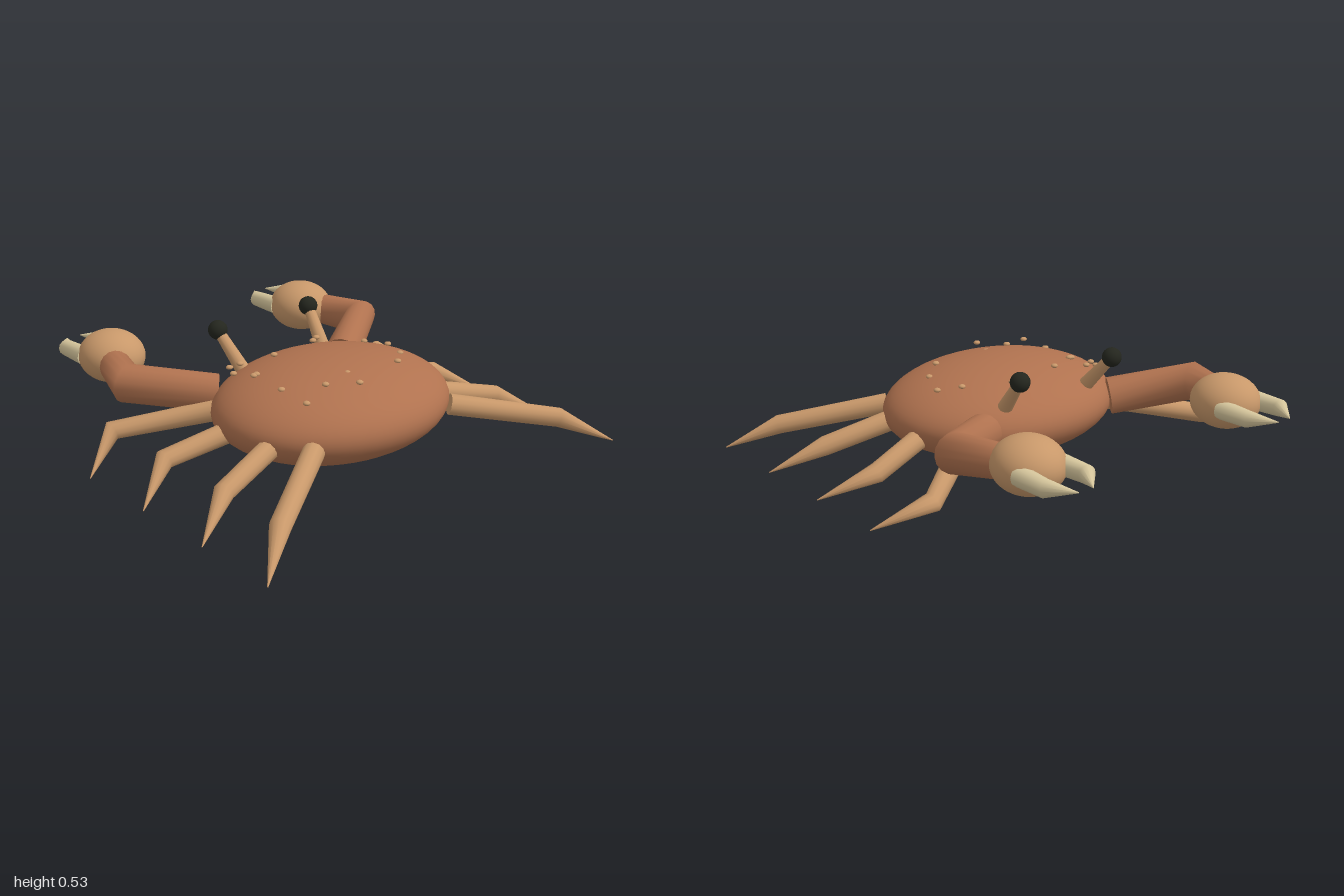
import * as THREE from 'three';

const material = (name, color) => {
  const m = new THREE.MeshStandardMaterial({ color });
  m.name = name;
  return m;
};

// Smooth round limb through a few points, mitred at each joint, with closed ends
function limb(points, radii, sides = 12) {
  const pts = points.map((p) => new THREE.Vector3(...p));
  const up = new THREE.Vector3(0, 1, 0);
  const pos = [], index = [];
  const dir = (i) => pts[i + 1].clone().sub(pts[i]).normalize();
  const last = pts.length - 1;
  pts.forEach((c, i) => {
    const t = i === 0 ? dir(0) : i === last ? dir(last - 1) : dir(i - 1).add(dir(i)).normalize();
    const u = up.clone().cross(t).normalize();
    const v = t.clone().cross(u);
    for (let j = 0; j < sides; j++) {
      const a = (j / sides) * Math.PI * 2;
      const p = c.clone().addScaledVector(u, radii[i] * Math.cos(a)).addScaledVector(v, radii[i] * Math.sin(a));
      pos.push(p.x, p.y, p.z);
    }
  });
  for (let i = 0; i < last; i++) {
    for (let j = 0; j < sides; j++) {
      const k = (j + 1) % sides;
      const a = i * sides + j, b = i * sides + k, c = a + sides, d = b + sides;
      index.push(a, b, c, b, d, c);
    }
  }
  // End caps use their own corners so the rims stay sharp
  for (const [ring, flip] of [[0, true], [last, false]]) {
    const start = pos.length / 3;
    pos.push(...pos.slice(ring * sides * 3, (ring + 1) * sides * 3));
    for (let j = 1; j < sides - 1; j++) {
      if (flip) index.push(start, start + j + 1, start + j);
      else index.push(start, start + j, start + j + 1);
    }
  }
  const g = new THREE.BufferGeometry();
  g.setAttribute('position', new THREE.Float32BufferAttribute(pos, 3));
  g.setIndex(index);
  g.computeVertexNormals();
  return g;
}

export function createModel() {
  const shell = material('shell brown', 0xb0724f);
  const tan = material('leg tan', 0xc8986a);
  const horn = material('claw cream', 0xd6c69c);
  const black = material('eye black', 0x24261e);

  const crab = new THREE.Group();
  crab.name = 'crab';
  const add = (parent, name, geometry, mat) => {
    const mesh = new THREE.Mesh(geometry, mat);
    mesh.name = name;
    parent.add(mesh);
    return mesh;
  };
  const ellipsoid = (parent, name, mat, center, size, w = 32, h = 20) => {
    const mesh = add(parent, name, new THREE.SphereGeometry(1, w, h), mat);
    mesh.position.set(...center);
    mesh.scale.set(...size);
    return mesh;
  };

  // Shell
  ellipsoid(crab, 'shell', shell, [0, 0.222, 0.205], [0.565, 0.21, 0.465], 48, 32);

  // Bumps on the shell: x, z, sink depth
  const bumps = [
    [-0.35, -0.07, 0], [-0.3, -0.06, 0], [-0.375, -0.01, 0], [-0.145, -0.015, 0],
    [-0.335, 0.08, 0], [-0.32, 0.08, 0], [-0.01, 0.07, 0.004], [-0.33, 0.175, 0.011],
    [-0.345, 0.277, 0], [-0.2, 0.39, 0], [-0.05, 0.36, 0.004], [-0.09, 0.48, 0],
    [-0.36, 0.455, 0], [0.1, -0.037, 0], [0.145, -0.065, 0], [0.315, 0.073, 0],
    [0.4, 0.14, 0], [0.337, 0.283, 0], [0.228, 0.38, 0], [0.15, 0.043, 0.011],
  ];
  const bumpGroup = new THREE.Group();
  bumpGroup.name = 'shellBumps';
  crab.add(bumpGroup);
  for (const [x, z, sink] of bumps) {
    ellipsoid(bumpGroup, 'bump', tan, [x, 0.416 - 0.25 * x * x - sink, z], [0.016, 0.01, 0.016], 10, 8);
  }

  // Walking legs, front to back: base, knee, tip
  const legs = [
    [[0.42, 0.205, -0.07], [0.79, 0.12, -0.345], [1, 0.006, -0.2]],
    [[0.44, 0.205, 0.14], [0.79, 0.12, 0.05], [1, 0.006, 0.195]],
    [[0.44, 0.205, 0.36], [0.79, 0.12, 0.455], [1, 0.006, 0.59]],
    [[0.395, 0.205, 0.54], [0.805, 0.12, 0.822], [1, 0.006, 0.985]],
  ];

  for (const [side, s] of [['left', 1], ['right', -1]]) {
    const flip = (pts) => pts.map(([x, y, z]) => [x * s, y, z]);

    legs.forEach((leg, i) => {
      add(crab, `${side}Leg${i + 1}`, limb(flip(leg), [0.048, 0.044, 0.002]), tan);
    });

    // Claw arm, palm and pincers
    const claw = new THREE.Group();
    claw.name = `${side}Claw`;
    crab.add(claw);
    const arm = [[0.37, 0.25, -0.14], [0.69, 0.31, -0.365], [0.615, 0.32, -0.58]];
    add(claw, 'arm', limb(flip(arm), [0.085, 0.088, 0.072], 16), shell);
    ellipsoid(claw, 'palm', tan, [0.567 * s, 0.325, -0.67], [0.15, 0.12, 0.16]);
    for (const f of [1, -1]) {
      const pincer = [[0.1, -0.735], [0.105, -0.89], [0.036, -1]].map(([dx, z]) => [0.567 + f * dx, 0.325, z]);
      add(claw, f > 0 ? 'outerPincer' : 'innerPincer', limb(flip(pincer), [0.044, 0.038, 0.002]), horn);
    }

    // Eye on its stalk
    const stalk = [[0.235, 0.33, -0.125], [0.265, 0.485, -0.26]];
    add(crab, `${side}EyeStalk`, limb(flip(stalk), [0.034, 0.024]), tan);
    ellipsoid(crab, `${side}Eye`, black, [0.265 * s, 0.487, -0.262], [0.044, 0.044, 0.044], 20, 14);
  }
  return crab;
}
